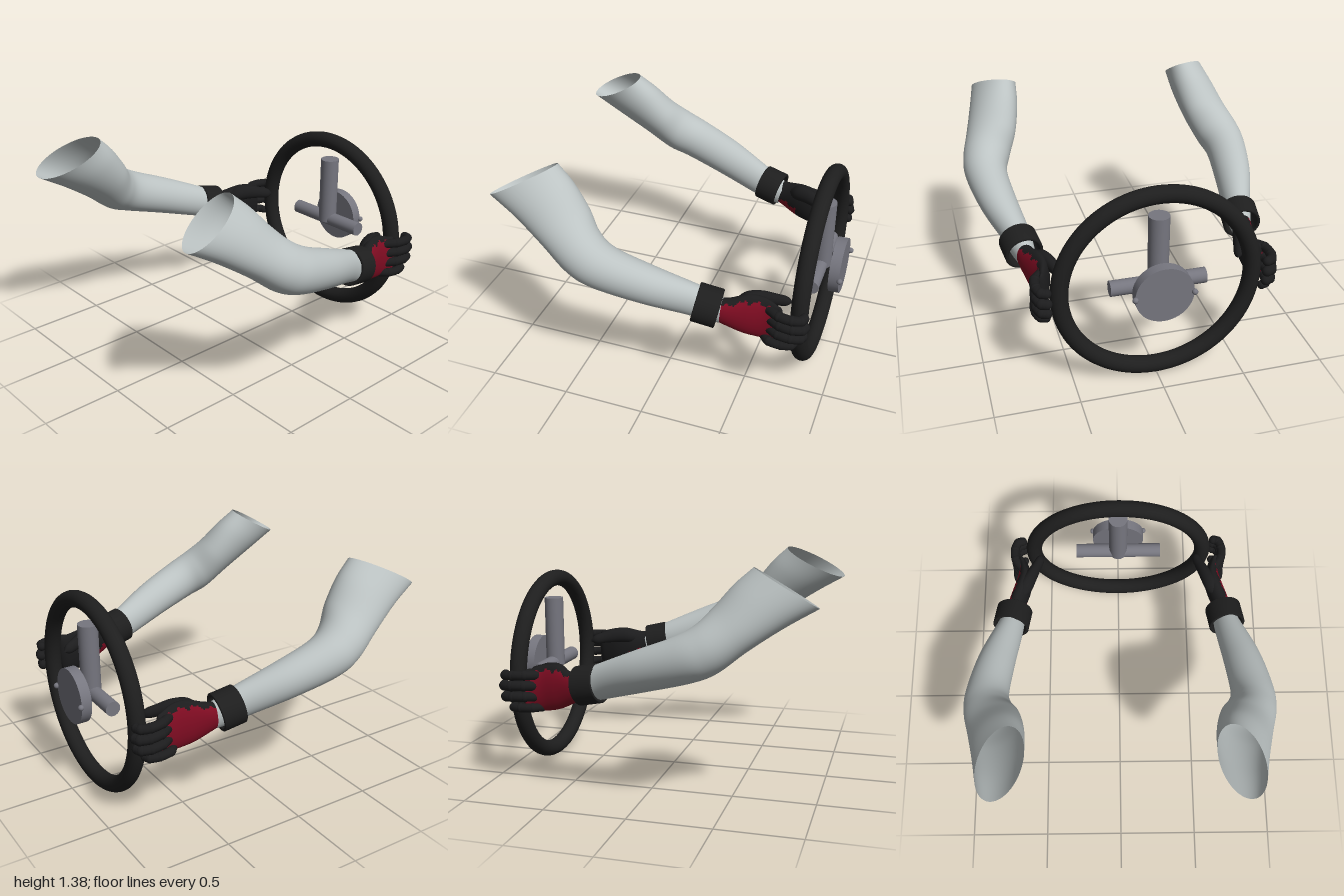
import * as THREE from 'three';
import { mergeGeometries } from 'three/addons/utils/BufferGeometryUtils.js';

const V = (a) => new THREE.Vector3(...a);

function makeMaterial(name, color, side = THREE.FrontSide) {
  const m = new THREE.MeshStandardMaterial({ color, side });
  m.name = name;
  return m;
}

// Smooth open skin through elliptical rings: [centre, half axis up, half axis outward].
// paint(t, angle) picks a material index for each patch.
function loft(rings, steps, sides, paint = null) {
  const [c, u, w] = [0, 1, 2].map((k) => new THREE.CatmullRomCurve3(rings.map((r) => V(r[k])), false, 'catmullrom'));
  const pos = [], index = [[], []];
  for (let i = 0; i <= steps; i++) {
    const t = i / steps, C = c.getPoint(t), U = u.getPoint(t), W = w.getPoint(t);
    for (let j = 0; j < sides; j++) {
      const a = (j / sides) * Math.PI * 2;
      const p = C.clone().addScaledVector(U, Math.cos(a)).addScaledVector(W, Math.sin(a));
      pos.push(p.x, p.y, p.z);
    }
  }
  for (let i = 0; i < steps; i++) {
    for (let j = 0; j < sides; j++) {
      const k = (j + 1) % sides, n = i * sides, m = n + sides;
      const slot = paint ? paint((i + 0.5) / steps, ((j + 0.5) / sides) * 360) : 0;
      index[slot].push(n + j, n + k, m + j, n + k, m + k, m + j);
    }
  }
  const g = new THREE.BufferGeometry();
  g.setAttribute('position', new THREE.Float32BufferAttribute(pos, 3));
  g.setIndex([...index[0], ...index[1]]);
  if (paint) {
    g.addGroup(0, index[0].length, 0);
    g.addGroup(index[0].length, index[1].length, 1);
  }
  g.computeVertexNormals();
  return g;
}

// Rounded digit: a tube with balls at its joints and tip
function digit(points, r) {
  const pts = points.map(V);
  const parts = [new THREE.TubeGeometry(new THREE.CatmullRomCurve3(pts), 20, r, 12)];
  pts.forEach((p, i) => {
    const swell = i > 0 && i < pts.length - 1 ? 1.07 : 1;
    parts.push(new THREE.SphereGeometry(r * swell, 14, 10).translate(p.x, p.y, p.z));
  });
  return mergeGeometries(parts);
}

// Mirror across z, keeping faces turned outward
function mirrorZ(geometry) {
  const g = geometry.clone().applyMatrix4(new THREE.Matrix4().makeScale(1, 1, -1));
  const ix = g.index;
  for (let i = 0; i < ix.count; i += 3) {
    const b = ix.getX(i + 1);
    ix.setX(i + 1, ix.getX(i + 2));
    ix.setX(i + 2, b);
  }
  return g;
}

export function createModel() {
  const model = new THREE.Group();
  model.name = 'armsOnSteeringWheel';
  const sleeveGrey = makeMaterial('sleeveGrey', 0xbcc3c3, THREE.DoubleSide);
  const black = makeMaterial('black', 0x1e1e1e);
  const gloveBlack = makeMaterial('gloveBlack', 0x1c1c1d, THREE.DoubleSide);
  const gloveRed = makeMaterial('gloveRed', 0x800c22, THREE.DoubleSide);
  const hubGrey = makeMaterial('hubGrey', 0x76767f);

  const add = (parent, name, geometry, material) => {
    const mesh = new THREE.Mesh(geometry, material);
    mesh.name = name;
    parent.add(mesh);
  };

  // Steering wheel, facing +x
  const wheel = new THREE.Group();
  wheel.name = 'steeringWheel';
  wheel.position.set(0.83, 0.625, 0);
  model.add(wheel);
  add(wheel, 'rim', new THREE.TorusGeometry(0.573, 0.052, 20, 96).rotateY(Math.PI / 2), black);
  add(wheel, 'uprightSpoke', new THREE.CylinderGeometry(0.061, 0.061, 0.45, 32).translate(0, 0.22, 0), hubGrey);
  add(wheel, 'crossSpoke', new THREE.CylinderGeometry(0.046, 0.046, 0.57, 32).rotateX(Math.PI / 2).translate(0, 0.01, 0), hubGrey);
  add(wheel, 'hub', new THREE.CylinderGeometry(0.173, 0.173, 0.065, 48).rotateZ(Math.PI / 2).translate(0.112, 0.01, 0), hubGrey);
  for (const s of [1, -1]) {
    add(wheel, 'hubStud', new THREE.SphereGeometry(0.018, 16, 12).translate(0.15, 0.01, s * 0.173), hubGrey);
  }

  // Arm parts, shaped on the +z side
  const sleeve = loft([
    [[-0.815, 1.285, 0.672], [0.185, 0.1, -0.03], [-0.04, 0, 0.135]],
    [[-0.675, 1.185, 0.698], [0.145, 0.108, -0.02], [-0.04, 0, 0.15]],
    [[-0.53, 1.06, 0.742], [0.1, 0.113, -0.01], [-0.04, 0, 0.155]],
    [[-0.405, 0.95, 0.795], [0.065, 0.13, 0], [-0.02, 0, 0.148]],
    [[-0.275, 0.885, 0.815], [0.055, 0.125, 0], [0, 0, 0.132]],
    [[-0.03, 0.8, 0.777], [0.04, 0.116, 0], [0.02, 0, 0.113]],
    [[0.225, 0.708, 0.712], [0.035, 0.1, 0], [0.015, 0, 0.083]],
    [[0.32, 0.672, 0.695], [0.03, 0.093, 0], [0.01, 0, 0.072]],
    [[0.4, 0.645, 0.68], [0.02, 0.082, 0], [0.01, 0, 0.055]],
  ], 64, 48);

  // Wrist band with softened edges
  const ro = 0.117, ri = 0.098, h = 0.072, e = 0.005;
  const band = [[ri, -h + e], [ri + e, -h], [ro - e, -h], [ro, -h + e], [ro, h - e],
    [ro - e, h], [ri + e, h], [ri, h - e], [ri, -h + e]].map((p) => new THREE.Vector2(...p));
  const cuff = new THREE.LatheGeometry(band, 48)
    .applyQuaternion(new THREE.Quaternion().setFromUnitVectors(V([0, 1, 0]), V([0.965, -0.22, -0.14]).normalize()))
    .translate(0.315, 0.68, 0.7);

  // Glove body: red back and heel, black palm and thumb side
  const hand = loft([
    [[0.37, 0.66, 0.69], [0.02, 0.075, 0], [0.01, 0, 0.052]],
    [[0.43, 0.65, 0.678], [0.02, 0.092, -0.005], [0.01, 0, 0.054]],
    [[0.53, 0.637, 0.648], [0.015, 0.13, -0.012], [0.01, 0, 0.056]],
    [[0.62, 0.622, 0.632], [0.01, 0.138, -0.01], [0.01, 0, 0.048]],
    [[0.7, 0.61, 0.64], [0.005, 0.128, 0], [0, 0, 0.036]],
    [[0.74, 0.605, 0.655], [0.005, 0.115, 0], [0, 0, 0.026]],
    [[0.755, 0.605, 0.66], [0, 0.002, 0], [0, 0, 0.002]],
  ], 60, 60, (t, a) => {
    const jag = 7 * Math.sin(t * 40) + 4 * Math.sin(t * 95);
    const back = a > 38 + jag && a < 188 + jag && t < 0.9;
    const heel = a >= 180 && a < 250 + jag && t > 0.1 && t < 0.34;
    return back || heel ? 1 : 0;
  });

  // Fingers hook around the rim: [name, height, reach, radius]
  const fingers = [
    ['indexFinger', 0.698, 0, 0.029],
    ['middleFinger', 0.634, 0.008, 0.031],
    ['ringFinger', 0.567, 0, 0.03],
    ['littleFinger', 0.503, -0.05, 0.027],
  ].map(([name, y, d, r]) => [name, digit([
    [0.67 + d / 2, y, 0.645], [0.735 + d, y + 0.004, 0.69], [0.81 + d, y, 0.697],
    [0.862 + d, y - 0.003, 0.678], [0.873 + d, y - 0.005, 0.65],
  ], r)]);

  // Thumb lies along the inner side of the rim
  const thumb = loft([
    [[0.46, 0.7, 0.645], [0, 0.02, 0], [0, 0, 0.02]],
    [[0.52, 0.715, 0.62], [0.01, 0.052, 0], [0.015, 0, 0.042]],
    [[0.6, 0.718, 0.582], [0.01, 0.05, 0], [0.015, 0, 0.036]],
    [[0.68, 0.703, 0.548], [0.01, 0.038, 0], [0.012, 0, 0.029]],
    [[0.74, 0.688, 0.524], [0.008, 0.03, 0], [0.01, 0, 0.023]],
    [[0.772, 0.68, 0.513], [0, 0.002, 0], [0, 0, 0.002]],
  ], 36, 20);

  const parts = [
    ['sleeve', sleeve, sleeveGrey],
    ['wristBand', cuff, black],
    ['glove', hand, [gloveBlack, gloveRed]],
    ['thumb', thumb, gloveBlack],
    ...fingers.map(([name, g]) => [name, g, gloveBlack]),
  ];
  for (const s of [1, -1]) {
    const arm = new THREE.Group();
    arm.name = s > 0 ? 'frontArm' : 'backArm';
    for (const [name, g, m] of parts) add(arm, name, s > 0 ? g : mirrorZ(g), m);
    model.add(arm);
  }
  return model;
}
